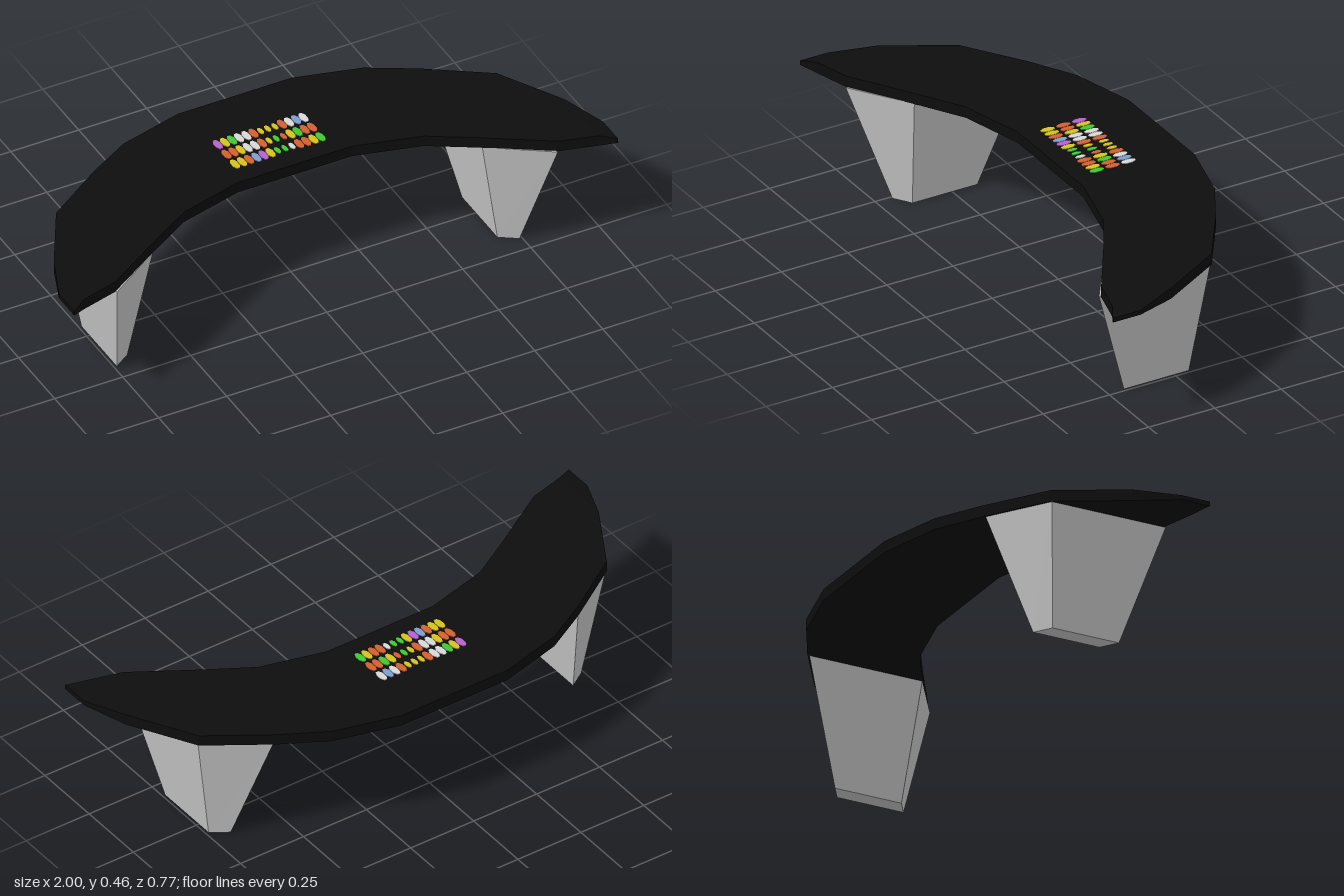
import * as THREE from 'three';

const material = (name, color, extra = {}) => Object.assign(new THREE.MeshStandardMaterial({ color, ...extra }), { name });

// Skins a row of four-cornered cross-sections and closes both ends, with flat faces.
function loft(rings) {
  const pos = [];
  const quad = (a, b, c, d) => [a, b, c, a, c, d].forEach(p => pos.push(...p));
  for (let i = 0; i < rings.length - 1; i++) {
    const r = rings[i], s = rings[i + 1];
    for (let k = 0; k < 4; k++) {
      const n = (k + 1) % 4;
      quad(r[k], r[n], s[n], s[k]);
    }
  }
  const e = rings[rings.length - 1];
  quad(rings[0][3], rings[0][2], rings[0][1], rings[0][0]);
  quad(e[0], e[1], e[2], e[3]);
  const g = new THREE.BufferGeometry();
  g.setAttribute('position', new THREE.Float32BufferAttribute(pos, 3));
  g.computeVertexNormals();
  return g;
}

export function createModel() {
  const group = new THREE.Group();
  const black = material('black top', 0x0d0d0d);
  const grey = material('grey leg', 0xc8c8c8);
  const add = (name, geometry, mat, parent = group) => {
    const mesh = new THREE.Mesh(geometry, mat);
    mesh.name = name;
    parent.add(mesh);
    return mesh;
  };

  // Curved top: back x, back z, front x, front z, bottom y, top y
  const half = [
    [0.21, -0.39, 0.21, 0.03, 0.415, 0.455],
    [0.44, -0.33, 0.44, 0.09, 0.415, 0.455],
    [0.60, -0.24, 0.60, 0.185, 0.415, 0.455],
    [0.81, -0.10, 0.815, 0.32, 0.415, 0.455],
    [0.94, 0.13, 0.945, 0.355, 0.415, 0.455],
    [1.00, 0.28, 1.00, 0.385, 0.427, 0.443],
  ];
  const mirrored = half.map(([bx, bz, fx, ...rest]) => [-bx, bz, -fx, ...rest]).reverse();
  const rings = [...mirrored, ...half].map(([bx, bz, fx, fz, y0, y1]) =>
    [[bx, y0, bz], [bx, y1, bz], [fx, y1, fz], [fx, y0, fz]]);
  // rings run along +x, so corners go counter-clockwise seen from +x
  add('tableTop', loft(rings.map(([a, b, c, d]) => [d, a, b, c])), black);

  // Tapered slab legs
  for (const s of [1, -1]) {
    const ring = (y, xi, xo, zib, zob, zof, zif) => {
      const r = [[s * xi, y, zib], [s * xi, y, zif], [s * xo, y, zof], [s * xo, y, zob]];
      return s > 0 ? r : r.reverse();
    };
    add(s > 0 ? 'leftLeg' : 'rightLeg', loft([
      ring(0, 0.68, 0.74, -0.095, -0.055, 0.19, 0.15),
      ring(0.416, 0.605, 0.81, -0.23, -0.095, 0.325, 0.187),
    ]), grey);
  }

  // Three rows of small coloured inlays
  const colours = {
    Y: material('yellow', 0xd4c21e), O: material('orange', 0xd2602f), G: material('green', 0x3fc832),
    P: material('purple', 0xb860d4), W: material('white', 0xd8d8d8), B: material('blue', 0x7a9fd0),
  };
  const rows = ['PYGWWOYYYOWBW', 'OOYWWOYGOYGOO', 'YYOBPYGGWOOYG'];
  const inlays = new THREE.Group();
  inlays.name = 'inlays';
  group.add(inlays);
  const chip = new THREE.CylinderGeometry(1, 1, 0.008, 8).rotateY(Math.PI / 8);
  rows.forEach((row, j) => [...row].forEach((c, i) => {
    const small = i > 5 && i < 9 ? 0.7 : 1;
    const mesh = add('inlay', chip, colours[c], inlays);
    mesh.scale.set(0.0135 * small, 1, 0.0275 * small);
    mesh.position.set(-0.173 + 0.0262 * i, 0.453, -0.18 + 0.0595 * j);
  }));
  return group;
}
